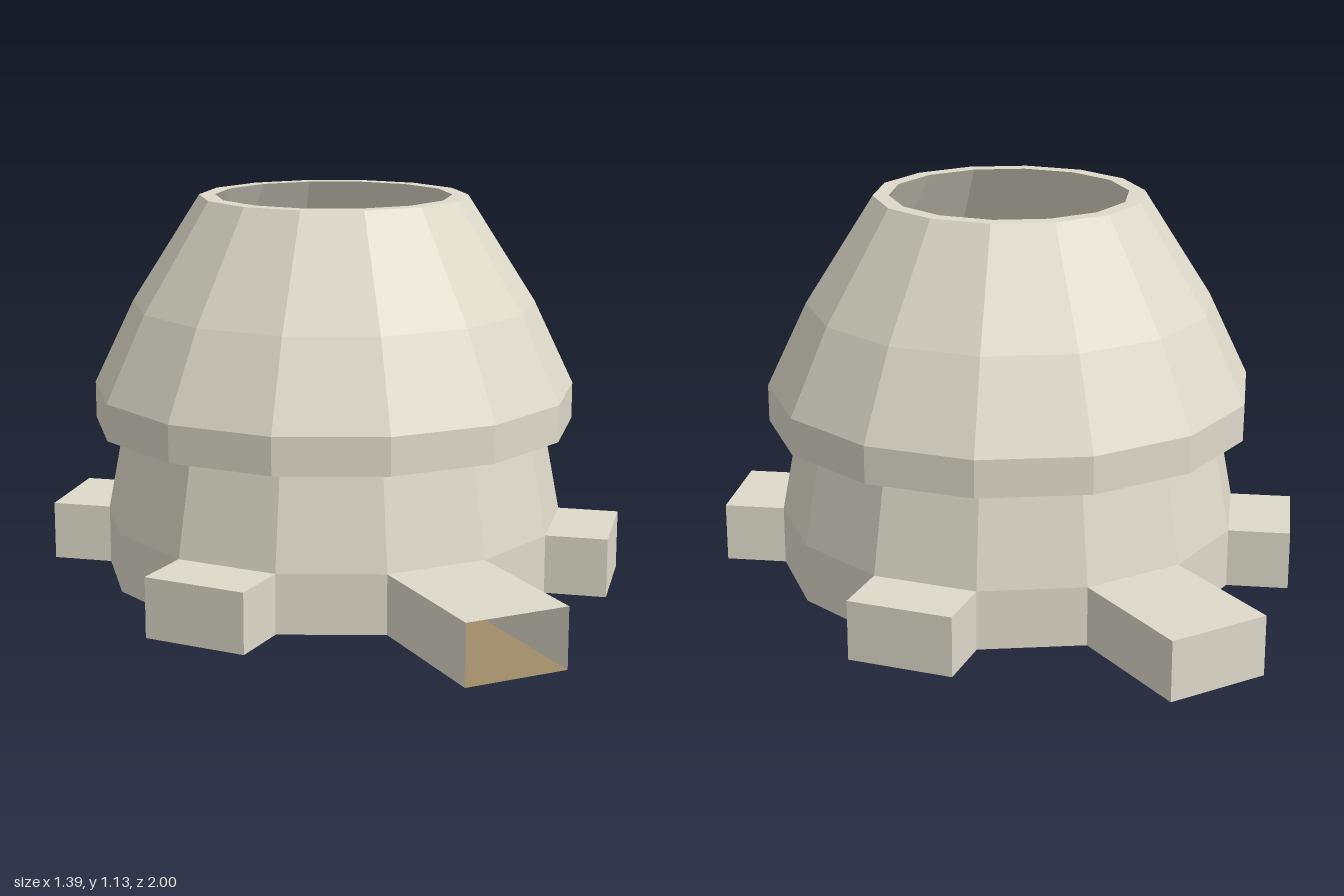
import * as THREE from 'three';

const SIDES = 14;
const STEP = (Math.PI * 2) / SIDES;
const FLOOR = 0.09, LINTEL = 0.25, WALL_R = 0.63;
const APOTHEM = WALL_R * Math.cos(STEP / 2);
const SIDE_W = 2 * WALL_R * Math.sin(STEP / 2);

const paint = (color) => new THREE.MeshStandardMaterial({ color, flatShading: true, side: THREE.DoubleSide });

// Regular outline with corners on the x axis
function polygon(r, Type = THREE.Shape) {
  const pts = [];
  for (let i = 0; i < SIDES; i++) pts.push(new THREE.Vector2(r * Math.cos(i * STEP), r * Math.sin(i * STEP)));
  return new Type(pts);
}

function rectPath(x0, x1, y0, y1) {
  return new THREE.Path([[x0, y0], [x1, y0], [x1, y1], [x0, y1]].map(([x, y]) => new THREE.Vector2(x, y)));
}

function add(parent, name, geometry, material, x = 0, y = 0, z = 0) {
  const mesh = new THREE.Mesh(geometry, material);
  mesh.name = name;
  mesh.position.set(x, y, z);
  parent.add(mesh);
  return mesh;
}

// Flat plan shape raised by a height
function slab(shape, height) {
  return new THREE.ExtrudeGeometry(shape, { depth: height, bevelEnabled: false, curveSegments: 8 }).rotateX(-Math.PI / 2);
}

export function createModel() {
  const model = new THREE.Group();
  const hut = new THREE.Group();
  hut.name = 'hut';
  hut.position.z = -0.02;
  model.add(hut);

  const plaster = paint(0xdedaca);
  const earth = paint(0xa08c68);
  const metal = paint(0x757579);

  // Tapered wall, overhanging eave and open-topped dome
  const profile = [
    [WALL_R, LINTEL], [0.58, 0.51], [0.66, 0.51], [0.66, 0.61], [0.55, 0.84],
    [0.365, 1.13], [0.322, 1.13], [0.505, 0.83], [0.6, 0.61], [0.58, 0.51],
  ].map(([r, y]) => new THREE.Vector2(r, y));
  add(hut, 'dome', new THREE.LatheGeometry(profile, SIDES, STEP / 2), plaster);

  // Base ring: a plain panel on each side, or a passage through it
  const passages = { 0: 1.02, 2: 0.78, 5: 0.78, 7: 0.98, 9: 0.78, 12: 0.78 };
  const h = LINTEL - FLOOR, midY = (LINTEL + FLOOR) / 2;
  for (let i = 0; i < SIDES; i++) {
    const side = new THREE.Group();
    side.name = passages[i] ? 'passage' : 'baseWall';
    side.rotation.y = i * STEP;
    hut.add(side);
    if (!passages[i]) {
      add(side, 'wallPanel', new THREE.PlaneGeometry(SIDE_W, h), plaster, 0, midY, APOTHEM);
      continue;
    }
    const length = passages[i] - APOTHEM, midZ = APOTHEM + length / 2;
    const flat = () => new THREE.PlaneGeometry(SIDE_W, length).rotateX(-Math.PI / 2);
    add(side, 'passageRoof', flat(), plaster, 0, LINTEL, midZ);
    add(side, 'passageFloor', flat().rotateZ(Math.PI), earth, 0, FLOOR, midZ);
    for (const s of [-1, 1]) {
      add(side, 'passageSide', new THREE.PlaneGeometry(length, h).rotateY(s * Math.PI / 2), plaster, s * SIDE_W / 2, midY, midZ);
    }
    // The front passage is the open entrance
    if (i !== 0) add(side, 'passageEnd', new THREE.PlaneGeometry(SIDE_W, h), plaster, 0, midY, passages[i]);
  }

  // Floor around the central plinth
  const floorShape = polygon(WALL_R);
  floorShape.holes.push(polygon(0.315, THREE.Path));
  add(hut, 'floor', new THREE.ShapeGeometry(floorShape).rotateX(-Math.PI / 2), earth, 0, FLOOR, 0);

  // Plinth with two stairwells and a foot disc
  const plinth = polygon(0.315);
  plinth.holes.push(rectPath(-0.05, 0.05, 0.215, 0.295), rectPath(-0.05, 0.05, -0.295, -0.215));
  add(hut, 'plinth', slab(plinth, FLOOR - 0.015), earth, 0, 0.015, 0);
  add(hut, 'foot', new THREE.CylinderGeometry(0.155, 0.155, 0.015, SIDES, 1, false, Math.PI / 2), earth, 0, 0.0075, 0);

  // Steps descending outwards in both stairwells
  for (const s of [-1, 1]) {
    for (let i = 0; i < 4; i++) {
      add(hut, 'step', new THREE.BoxGeometry(0.1, 0.015, 0.02), earth, 0, 0.078 - i * 0.017, s * (0.225 + i * 0.02));
    }
  }

  // Thin crossing table with a round centre
  const r = 0.12, w = 0.055, a = Math.asin(w / r), end = 0.6;
  const table = new THREE.Shape();
  table.moveTo(end, -w);
  table.lineTo(end, w);
  table.absarc(0, 0, r, a, Math.PI - a, false);
  table.lineTo(-end, w);
  table.lineTo(-end, -w);
  table.absarc(0, 0, r, Math.PI + a, Math.PI * 2 - a, false);
  table.closePath();
  add(hut, 'crossTable', slab(table, 0.012), metal, 0, 0.135, 0);

  return model;
}
